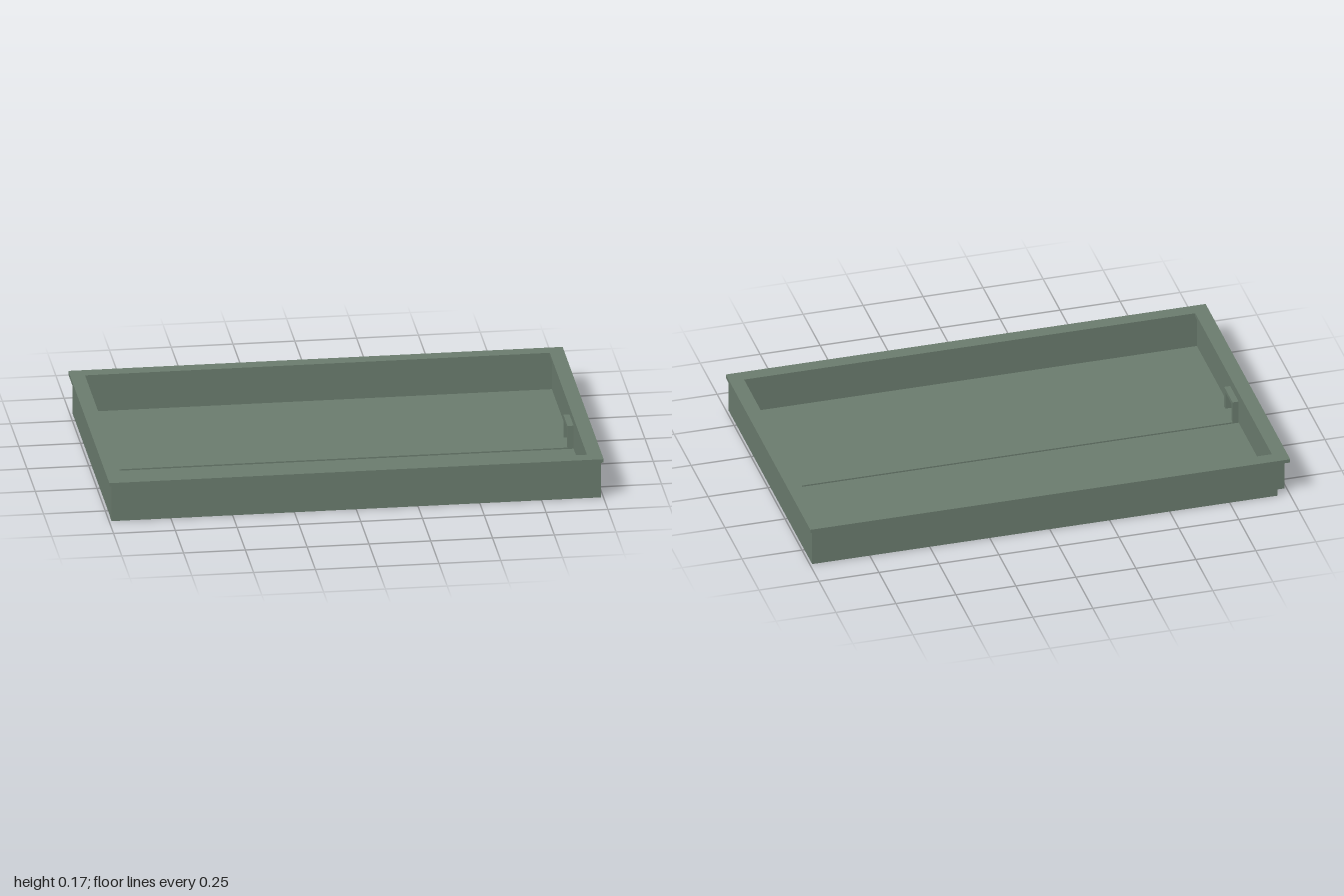
import * as THREE from 'three';

export function createModel() {
  const model = new THREE.Group();
  model.name = 'tray';
  const green = new THREE.MeshStandardMaterial({ color: 0x6b7c6e });
  green.name = 'greyGreen';

  // Box given by its limits on each axis
  const box = (name, [x0, x1], [y0, y1], [z0, z1], parent = model) => {
    const mesh = new THREE.Mesh(new THREE.BoxGeometry(x1 - x0, y1 - y0, z1 - z0), green);
    mesh.position.set((x0 + x1) / 2, (y0 + y1) / 2, (z0 + z1) / 2);
    mesh.name = name;
    parent.add(mesh);
  };

  const rimY = 0.152, topY = 0.167, baseY = 0.006;

  // Base board, inset under the front and left-hand walls
  box('base', [-0.95, 0.99], [0, baseY], [-0.615, 0.575]);

  // Walls, leaving an open notch at the -x, -z corner
  box('frontWall', [-0.99, 0.99], [0, rimY], [0.575, 0.615]);
  box('backWall', [-0.95, 0.95], [baseY, rimY], [-0.615, -0.575]);
  box('leftWall', [0.95, 0.99], [baseY, rimY], [-0.615, 0.575]);
  box('rightWall', [-0.99, -0.95], [0.004, rimY], [-0.575, 0.575]);

  // Flat rim frame overhanging the walls
  const rect = (path, x, z) =>
    path.moveTo(-x, -z).lineTo(x, -z).lineTo(x, z).lineTo(-x, z).closePath();
  const frame = rect(new THREE.Shape(), 1, 0.623);
  frame.holes.push(rect(new THREE.Path(), 0.94, 0.565));
  const rimGeometry = new THREE.ExtrudeGeometry(frame, { depth: topY - rimY, bevelEnabled: false });
  rimGeometry.rotateX(-Math.PI / 2);
  const rim = new THREE.Mesh(rimGeometry, green);
  rim.position.y = rimY;
  rim.name = 'rim';
  model.add(rim);

  // Thin strip across the floor between the handles
  const z0 = -0.04, z1 = 0.085, stripY = baseY + 0.006;
  box('floorStrip', [-0.95, 0.95], [baseY, stripY], [z0, z1]);

  // Arched handle at each end
  for (const side of [-1, 1]) {
    const handle = new THREE.Group();
    handle.name = side > 0 ? 'leftHandle' : 'rightHandle';
    const x = side > 0 ? [0.925, 0.95] : [-0.95, -0.925];
    const bar = 0.016, handleTop = 0.105;
    box('handlePost', x, [stripY, handleTop], [z0, z0 + bar], handle);
    box('handlePost', x, [stripY, handleTop], [z1 - bar, z1], handle);
    box('handleBar', x, [handleTop - bar, handleTop], [z0 + bar, z1 - bar], handle);
    model.add(handle);
  }
  return model;
}
